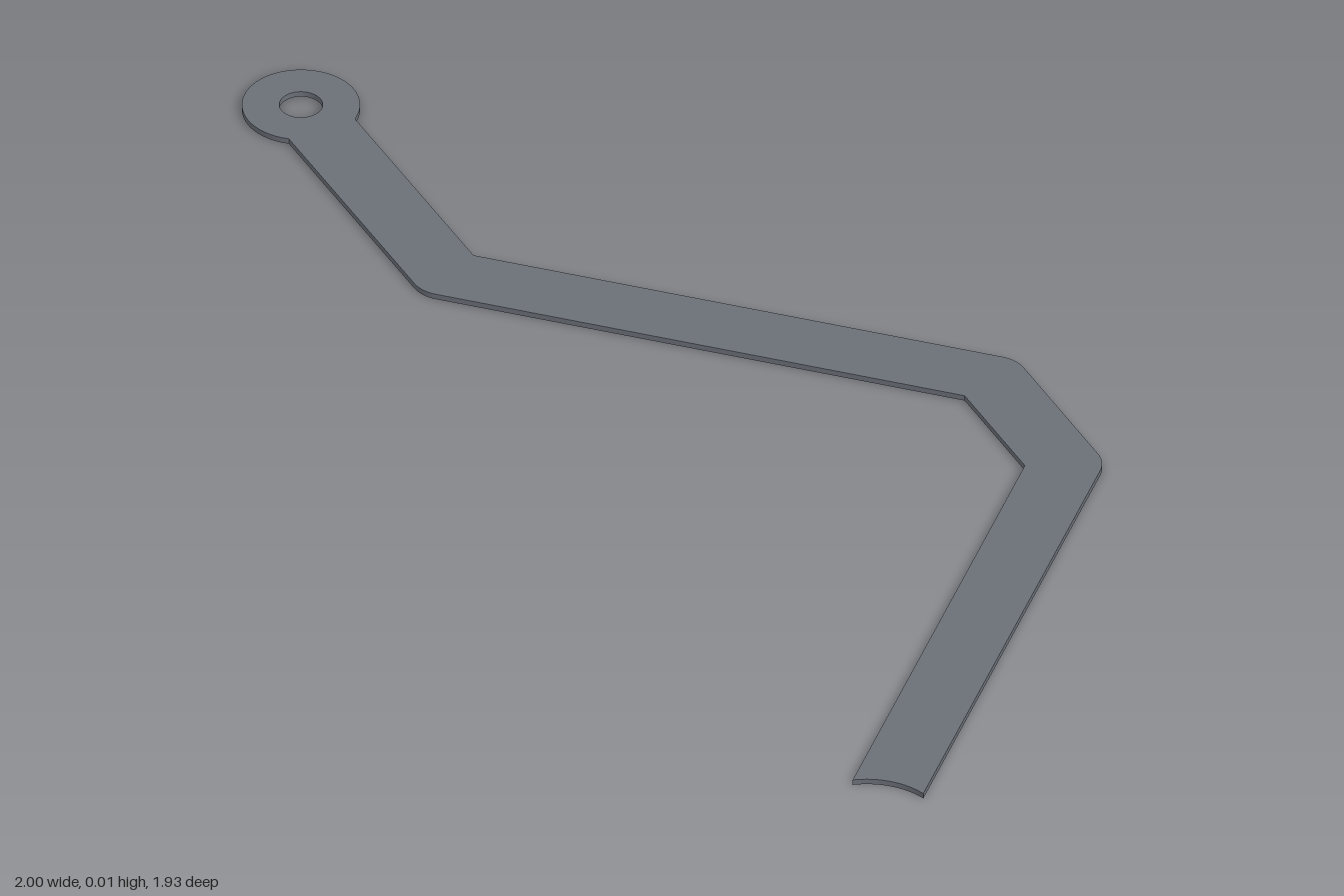
import * as THREE from 'three';

const THICK = 0.012;
const HALF = 0.0735;   // half the strip width
const PAD_R = 0.117;
const HOLE_R = 0.043;
const END_R = 0.155;   // radius of the concave free end
const rad = THREE.MathUtils.degToRad;

export function createModel() {
  const group = new THREE.Group();
  group.name = 'bentStrip';

  // Centre line in plan (shape y is -z): pad, three bends, free end
  const pad = [-0.883, 0.848], bendA = [-0.433, 0.4], bendB = [0.698, 0.4], bendC = [0.9265, 0.1715];
  const endY = -0.965;
  const miter = HALF * Math.tan(rad(22.5));
  const neck = Math.asin(HALF / PAD_R);

  const outline = new THREE.Shape();
  // Round pad, open where the strip joins it
  outline.absarc(...pad, PAD_R, rad(-45) + neck, rad(315) - neck, false);
  // Lower edge: rounded outer bend, then two sharp inner bends
  outline.absarc(...bendA, HALF, rad(225), rad(270), false);
  outline.lineTo(bendB[0] - miter, bendB[1] - HALF);
  outline.lineTo(bendC[0] - HALF, bendC[1] - miter);
  // Concave free end
  const a = Math.asin(HALF / END_R);
  outline.absarc(bendC[0], endY - END_R * Math.cos(a), END_R, Math.PI / 2 + a, Math.PI / 2 - a, true);
  // Upper edge: two rounded outer bends, then a sharp inner bend
  outline.absarc(...bendC, HALF, 0, rad(45), false);
  outline.absarc(...bendB, HALF, rad(45), rad(90), false);
  outline.lineTo(bendA[0] + miter, bendA[1] + HALF);
  outline.closePath();

  // Hole through the pad
  const hole = new THREE.Path();
  hole.absarc(...pad, HOLE_R, 0, Math.PI * 2, true);
  outline.holes.push(hole);

  const geometry = new THREE.ExtrudeGeometry(outline, { depth: THICK, bevelEnabled: false, curveSegments: 32 });
  geometry.rotateX(-Math.PI / 2);

  const strip = new THREE.Mesh(geometry, new THREE.MeshStandardMaterial({ color: 0x6b7078 }));
  strip.name = 'stripWithEyelet';
  group.add(strip);
  return group;
}
